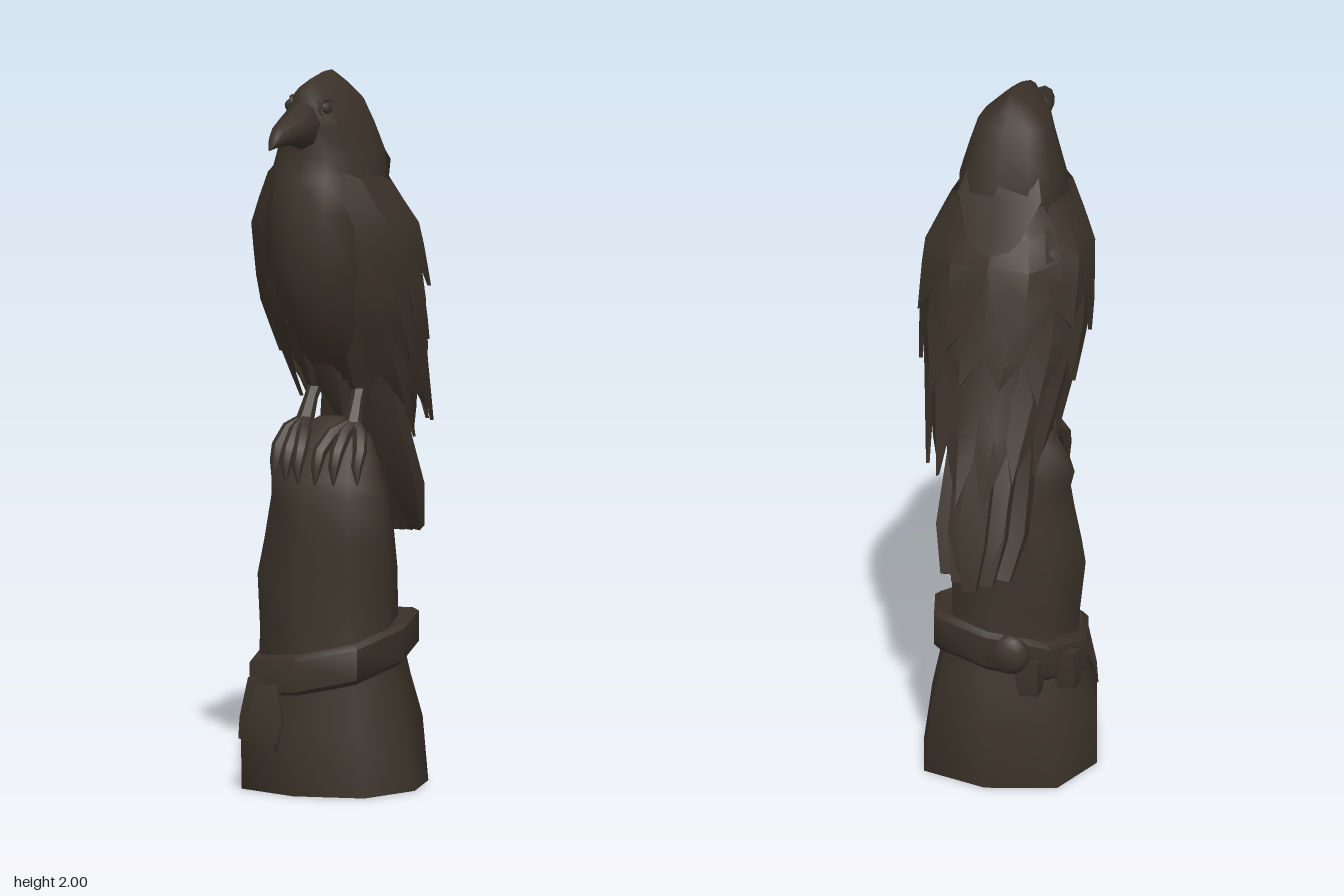
import * as THREE from 'three';
import { toCreasedNormals } from 'three/addons/utils/BufferGeometryUtils.js';

const V = (x, y, z) => new THREE.Vector3(x, y, z);
const lerp = THREE.MathUtils.lerp;

// Skin a list of equal-length closed rings, optionally capping both ends
function loft(rings, caps = true, crease = 0.9) {
  const n = rings[0].length, pos = [], idx = [];
  rings.flat().forEach(p => pos.push(p.x, p.y, p.z));
  for (let r = 0; r < rings.length - 1; r++) for (let i = 0; i < n; i++) {
    const a = r * n + i, b = r * n + (i + 1) % n;
    idx.push(a, b, a + n, b, b + n, a + n);
  }
  if (caps) [0, rings.length - 1].forEach(r => {
    const c = rings[r].reduce((s, p) => s.add(p), V(0, 0, 0)).divideScalar(n), k = pos.length / 3;
    pos.push(c.x, c.y, c.z);
    for (let i = 0; i < n; i++) {
      const a = r * n + i, b = r * n + (i + 1) % n;
      r ? idx.push(k, a, b) : idx.push(k, b, a);
    }
  });
  return finish(pos, idx, crease);
}

function finish(pos, idx, crease) {
  const g = new THREE.BufferGeometry();
  g.setAttribute('position', new THREE.Float32BufferAttribute(pos, 3));
  g.setIndex(idx);
  g.computeVertexNormals();
  return toCreasedNormals(g, crease);
}

// Open sheet from a function of (s, w), both 0..1
function sheet(fn, ns, nw, crease = 0.5) {
  const pos = [], idx = [];
  for (let i = 0; i <= ns; i++) for (let j = 0; j <= nw; j++) {
    const p = fn(i / ns, j / nw);
    pos.push(p.x, p.y, p.z);
    if (i < ns && j < nw) {
      const a = i * (nw + 1) + j, b = a + nw + 1;
      idx.push(a, b, a + 1, b, b + 1, a + 1);
    }
  }
  return finish(pos, idx, crease);
}

// Tapered rod through points; flat squashes its section
function limb(pts, radii, flat = 1, sides = 6) {
  const ref = V(0, 0.6, 0.8);
  return loft(pts.map((p, k) => {
    const t = pts[Math.min(k + 1, pts.length - 1)].clone().sub(pts[Math.max(k - 1, 0)]).normalize();
    const u = ref.clone().cross(t).normalize(), v = t.clone().cross(u);
    return Array.from({ length: sides }, (_, i) => {
      const a = (i + 0.5) / sides * Math.PI * 2;
      return p.clone().addScaledVector(u, radii[k] * Math.cos(a)).addScaledVector(v, radii[k] * flat * Math.sin(a));
    });
  }));
}

// Horizontal ring with separate left, right, front and back reach
function ring(y, xl, xr, zf, zb, n, pow = 1, egg = 0) {
  return Array.from({ length: n }, (_, i) => {
    const a = i / n * Math.PI * 2, s = Math.sin(a), c = Math.cos(a);
    const m = (zf + zb) / 2, d = (zf - zb) / 2;
    const x = Math.sign(s) * Math.abs(s) ** pow * (s > 0 ? xr : xl) * (1 - egg * c);
    return V(x, y, m + Math.sign(c) * Math.abs(c) ** pow * d);
  });
}

// Folded-wing envelope: y, half width, centre z, back z
const SHELL = [[1.77, 0.12, 0.05, -0.095], [1.7, 0.152, 0.04, -0.12], [1.57, 0.212, 0.0, -0.19], [1.35, 0.212, -0.05, -0.24],
  [1.2, 0.185, -0.11, -0.275], [1.0, 0.145, -0.21, -0.345], [0.85, 0.11, -0.28, -0.4]];
function shell(side, deg, y, off = 0) {
  let k = 0;
  while (k < SHELL.length - 2 && y < SHELL[k + 1][0]) k++;
  const A = SHELL[k], B = SHELL[k + 1], f = (A[0] - y) / (A[0] - B[0]);
  const [rx, c, b] = [1, 2, 3].map(i => lerp(A[i], B[i], f));
  const a = deg * Math.PI / 180;
  return V(side * (rx + off) * Math.cos(a), y, c - (c - b + off) * Math.sin(a));
}

// Pointed feather lying on the wing envelope, lifting towards its tip
function feather(side, t0, y0, t1, y1, width, off) {
  const prof = [0.6, 0.95, 1, 0.9, 0.55, 0];
  return sheet((s, w) => {
    const k = Math.round(s * 5), q = w * 2 - 1;
    const deg = lerp(t0, t1, s) + q * width * prof[k];
    return shell(side, deg, lerp(y0, y1, s) + Math.abs(q) * 0.02 * (1 - s), off + 0.01 * (1 - Math.abs(q)) + 0.016 * s);
  }, 5, 2, 0.6);
}

export function createModel() {
  const root = new THREE.Group();
  const mat = new THREE.MeshStandardMaterial({ color: 0x3b3229, side: THREE.DoubleSide });
  mat.name = 'dark bronze';
  const add = (name, geo, parent = root) => {
    const m = new THREE.Mesh(geo, mat);
    m.name = name;
    parent.add(m);
    return m;
  };

  // Weathered post, rounder towards the top
  add('post', loft([[0, 0.25, 0.25, 0.25, -0.24], [0.18, 0.25, 0.225, 0.255, -0.245], [0.3, 0.195, 0.2, 0.225, -0.205],
    [0.45, 0.195, 0.172, 0.215, -0.17], [0.6, 0.212, 0.175, 0.21, -0.165], [0.7, 0.188, 0.172, 0.205, -0.152],
    [0.82, 0.165, 0.167, 0.198, -0.13], [0.87, 0.178, 0.15, 0.175, -0.115], [0.98, 0.12, 0.125, 0.115, -0.06],
    [1.03, 0.04, 0.04, 0.05, -0.01]].map(r => ring(...r, 8, 0.76 + 0.24 * r[0] ** 2)), true, 1.15));

  // Strap, its knot behind and loose ends
  const strap = [[-0.045, 0.165], [-0.06, 0.205], [-0.045, 0.222], [0.04, 0.222], [0.055, 0.205], [0.045, 0.165]].map(([h, r]) =>
    ring(0, r, r - 0.005, r + 0.022, -r - 0.012, 8, 0.78).map(p => p.setY(0.375 + h + p.x * 0.17 - p.z * 0.17)));
  add('strap', loft(strap, false, 0.8));
  add('frontStrapEnd', limb([V(-0.135, 0.31, 0.2), V(-0.155, 0.2, 0.212), V(-0.165, 0.14, 0.208)], [0.04, 0.04, 0.035], 0.4, 4));
  add('frontStrapEnd', limb([V(-0.1, 0.3, 0.22), V(-0.085, 0.2, 0.235), V(-0.1, 0.125, 0.235)], [0.05, 0.07, 0.06], 0.3, 4));
  const knot = add('strapKnot', new THREE.IcosahedronGeometry(0.05, 1));
  knot.position.set(-0.06, 0.4, -0.205);
  knot.scale.set(1.2, 1.2, 0.7);
  for (const [x, z] of [[-0.19, -0.1], [-0.11, -0.18]])
    add('backStrapEnd', limb([V(x, 0.38, z), V(x * 1.05, 0.31, z * 1.05), V(x * 1.06, 0.28, z * 1.06)], [0.05, 0.045, 0.035], 0.8, 4));

  // Body and head in one skin
  add('body', loft([[1.13, 0.025, 0.03, -0.07, 0], [1.2, 0.085, 0.1, -0.14, 0], [1.32, 0.125, 0.19, -0.18, 0],
    [1.45, 0.145, 0.245, -0.18, 0], [1.62, 0.152, 0.25, -0.16, 0], [1.72, 0.148, 0.225, -0.135, 0.05],
    [1.78, 0.142, 0.197, -0.115, 0.12], [1.86, 0.114, 0.21, -0.085, 0.25], [1.925, 0.093, 0.212, -0.05, 0.32],
    [1.965, 0.05, 0.198, -0.02, 0.35], [1.985, 0.025, 0.15, 0.0, 0.3], [2.0, 0.006, 0.08, 0.02, 0]]
    .map(([y, w, f, b, e]) => ring(y, w, w, f, b, 12, 0.92, e)), true, 1.2));

  // Hooked beak: rings of z, half width, bottom, top
  add('beak', loft([[0.13, 0.055, 1.8, 1.95], [0.2, 0.05, 1.8, 1.94], [0.27, 0.046, 1.822, 1.905],
    [0.335, 0.028, 1.825, 1.886], [0.365, 0.016, 1.824, 1.864], [0.39, 0.002, 1.822, 1.828]].map(([z, w, lo, hi]) =>
    Array.from({ length: 8 }, (_, i) => {
      const a = i / 8 * Math.PI * 2;
      return V(w * Math.cos(a), (lo + hi) / 2 + (hi - lo) / 2 * Math.sin(a), z);
    })), true, 1.1));

  // Hood point over the nape, and tuft under the tail
  add('hood', sheet((s, w) => {
    const q = w * 2 - 1, half = [0.09, 0.12, 0.08, 0][Math.round(s * 3)];
    return V(q * half, lerp(1.84, 1.55, s), lerp(-0.09, -0.212, s) + Math.abs(q) * 0.05 * (1 - s));
  }, 3, 2, 1));
  add('underTailTuft', limb([V(0, 1.24, 0.09), V(0, 1.14, 0.04), V(0, 1.0, -0.04)], [0.02, 0.04, 0.004], 0.7));

  // Tail core and fanned feathers, highest along the middle
  add('tailCore', limb([V(0, 1.25, -0.12), V(0, 1.0, -0.22), V(0, 0.8, -0.31), V(0, 0.7, -0.348)], [0.07, 0.1, 0.09, 0.05], 0.45));
  for (let i = -2; i <= 2; i++) {
    const k = Math.abs(i);
    add('tailFeather', limb([V(i * 0.028, 1.3, -0.17 + k * 0.03), V(i * 0.042, 1.0, -0.265 + k * 0.05),
      V(i * 0.044, 0.8, -0.345 + k * 0.042), V(i * 0.04, 0.665 + k * 0.008, -0.38 + k * 0.028)],
    [0.035, 0.055, 0.055, 0.026], 0.65, 4));
  }

  for (const side of [1, -1]) {
    // Eye with raised rim
    const eye = new THREE.Group();
    eye.name = 'eye';
    eye.position.set(side * 0.053, 1.915, 0.16);
    eye.lookAt(V(side * 0.95, 2.0, 0.6));
    add('eyeRim', new THREE.TorusGeometry(0.024, 0.008, 5, 10), eye);
    add('eyeball', new THREE.SphereGeometry(0.019, 8, 6), eye);
    root.add(eye);

    // Wing panel and its overlapping feather rows
    const wing = new THREE.Group();
    wing.name = 'wing';
    root.add(wing);
    add('wingPanel', sheet((s, w) => shell(side, lerp(-55, 92, w), lerp(1.77, 1.12 + 0.05 * Math.sin(w * 12), s)), 7, 8, 1), wing);
    for (let i = 0; i < 5; i++)
      add('primaryFeather', feather(side, -40 + i * 28, 1.4, -28 + i * 26, 1.06 - 0.035 * i + (i % 2) * 0.03, 21, 0.003), wing);
    for (let i = 0; i < 4; i++)
      add('secondaryFeather', feather(side, -30 + i * 34, 1.58, -18 + i * 31, 1.19 + (i % 2) * 0.05, 23, 0.007), wing);
    for (let i = 0; i < 3; i++)
      add('covertFeather', feather(side, -28 + i * 44, 1.72 - (i % 2) * 0.02, -12 + i * 38, 1.33 + (i % 2) * 0.06, 28, 0.011), wing);

    // Leg, front toes with claws wrapping round the post, and hind toe
    const leg = new THREE.Group(), x = side * 0.075;
    leg.name = 'leg';
    root.add(leg);
    add('thigh', limb([V(x * 0.9, 1.3, 0.04), V(x * 0.9, 1.19, 0.01), V(x * 0.9, 1.1, -0.015)], [0.06, 0.042, 0.022]), leg);
    add('shin', limb([V(x * 0.9, 1.13, -0.02), V(x * 0.95, 1.08, 0.01), V(x, 1.01, 0.045)], [0.022, 0.019, 0.026]), leg);
    [[-0.045, 0], [0, 0.018], [0.052, 0.055]].forEach(([out, back]) => {
      const o = out * side;
      add('toe', limb([V(x, 1.02, 0.035), V(x + o * 0.7, 0.995, 0.105 - back * 0.7), V(x + o, 0.95, 0.152 - back),
        V(x + o, 0.91, 0.17 - back), V(x + o * 1.1, 0.86, 0.172 - back * 0.9)], [0.02, 0.021, 0.02, 0.016, 0.003]), leg);
    });
    add('hindToe', limb([V(x, 1.02, 0.04), V(x, 0.97, -0.02), V(x, 0.9, -0.05)], [0.02, 0.02, 0.004]), leg);
  }
  return root;
}
